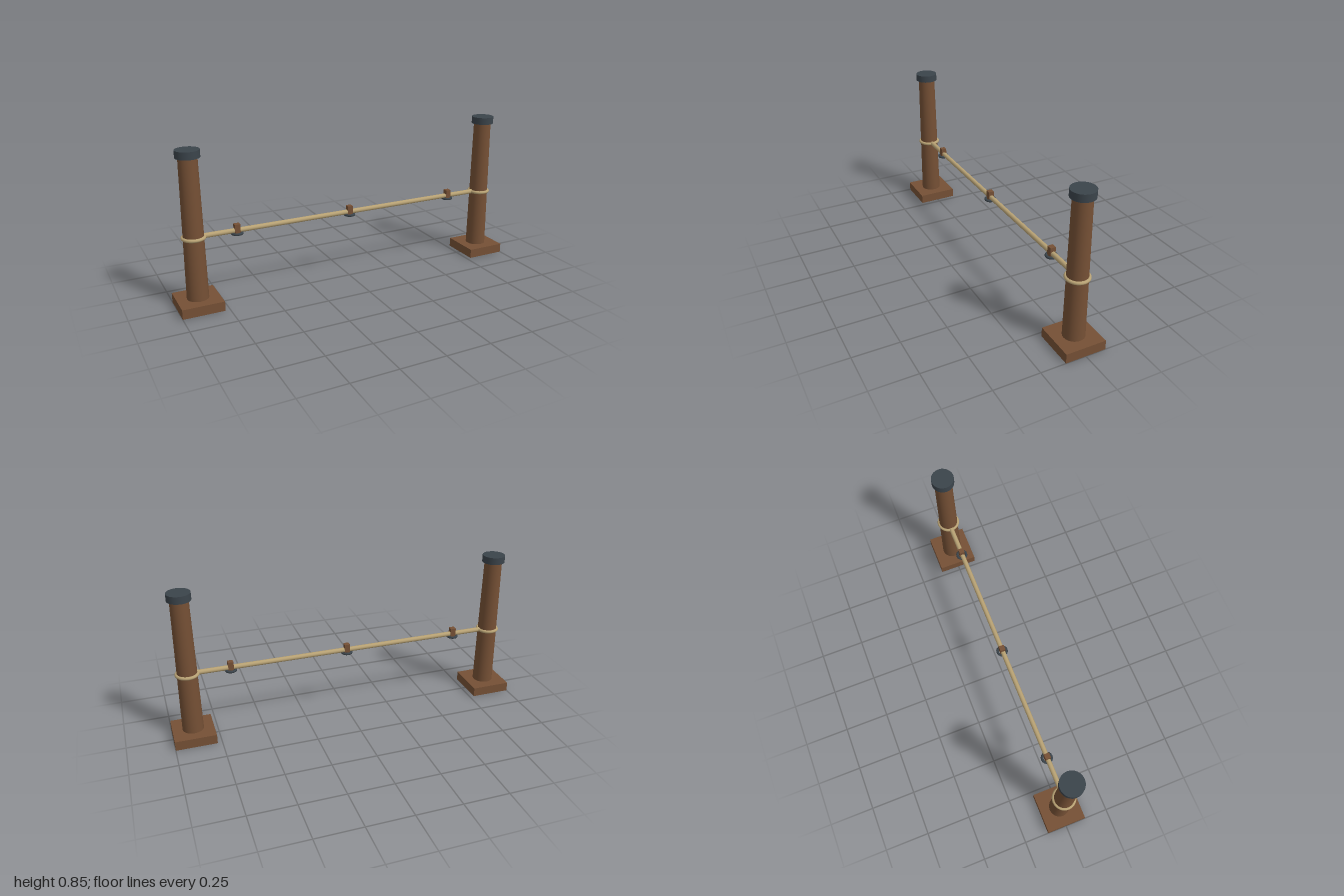
import * as THREE from 'three';

const wood = new THREE.MeshStandardMaterial({ name: 'brown wood', color: 0x755035 });
const iron = new THREE.MeshStandardMaterial({ name: 'dark iron', color: 0x3b444b });
const rope = new THREE.MeshStandardMaterial({ name: 'tan rope', color: 0xb8a274 });

const POST_X = 0.888;
const ROPE_Y = 0.39;

function add(parent, name, geometry, material, x = 0, y = 0, z = 0) {
  const mesh = new THREE.Mesh(geometry, material);
  mesh.name = name;
  mesh.position.set(x, y, z);
  parent.add(mesh);
  return mesh;
}

// Horizontal ring around the y axis
function ring(radius, tube, tubeSides, sides) {
  return new THREE.TorusGeometry(radius, tube, tubeSides, sides).rotateX(Math.PI / 2);
}

// Tapered post on a square foot, with an iron cap and a rope loop
function createPost(name, x) {
  const post = new THREE.Group();
  post.name = name;
  post.position.x = x;
  add(post, 'foot', new THREE.BoxGeometry(0.224, 0.053, 0.224), wood, 0, 0.0265, 0);
  add(post, 'shaft', new THREE.CylinderGeometry(0.049, 0.058, 0.772, 24), wood, 0, 0.431, 0);
  add(post, 'cap', new THREE.CylinderGeometry(0.063, 0.063, 0.04, 24), iron, 0, 0.831, 0);
  add(post, 'ropeLoop', ring(0.056, 0.0093, 10, 32), rope, 0, ROPE_Y, 0);
  return post;
}

// Small wooden block on the rope with an iron ring beneath
function createHanger(name, x) {
  const hanger = new THREE.Group();
  hanger.name = name;
  hanger.position.x = x;
  add(hanger, 'block', new THREE.BoxGeometry(0.03, 0.053, 0.03), wood, 0, 0.3985, 0);
  add(hanger, 'ironRing', ring(0.026, 0.0075, 8, 16), iron, 0, 0.374, 0);
  return hanger;
}

export function createModel() {
  const model = new THREE.Group();
  model.name = 'ropeBarrier';
  model.add(createPost('rightPost', -POST_X), createPost('leftPost', POST_X));

  // Taut rope between the posts
  const line = new THREE.CylinderGeometry(0.0135, 0.0135, 2 * POST_X - 0.08, 12).rotateZ(Math.PI / 2);
  add(model, 'rope', line, rope, 0, ROPE_Y, 0);

  ['rightHanger', 'middleHanger', 'leftHanger'].forEach((name, i) => {
    model.add(createHanger(name, (i - 1) * 0.657));
  });
  return model;
}
